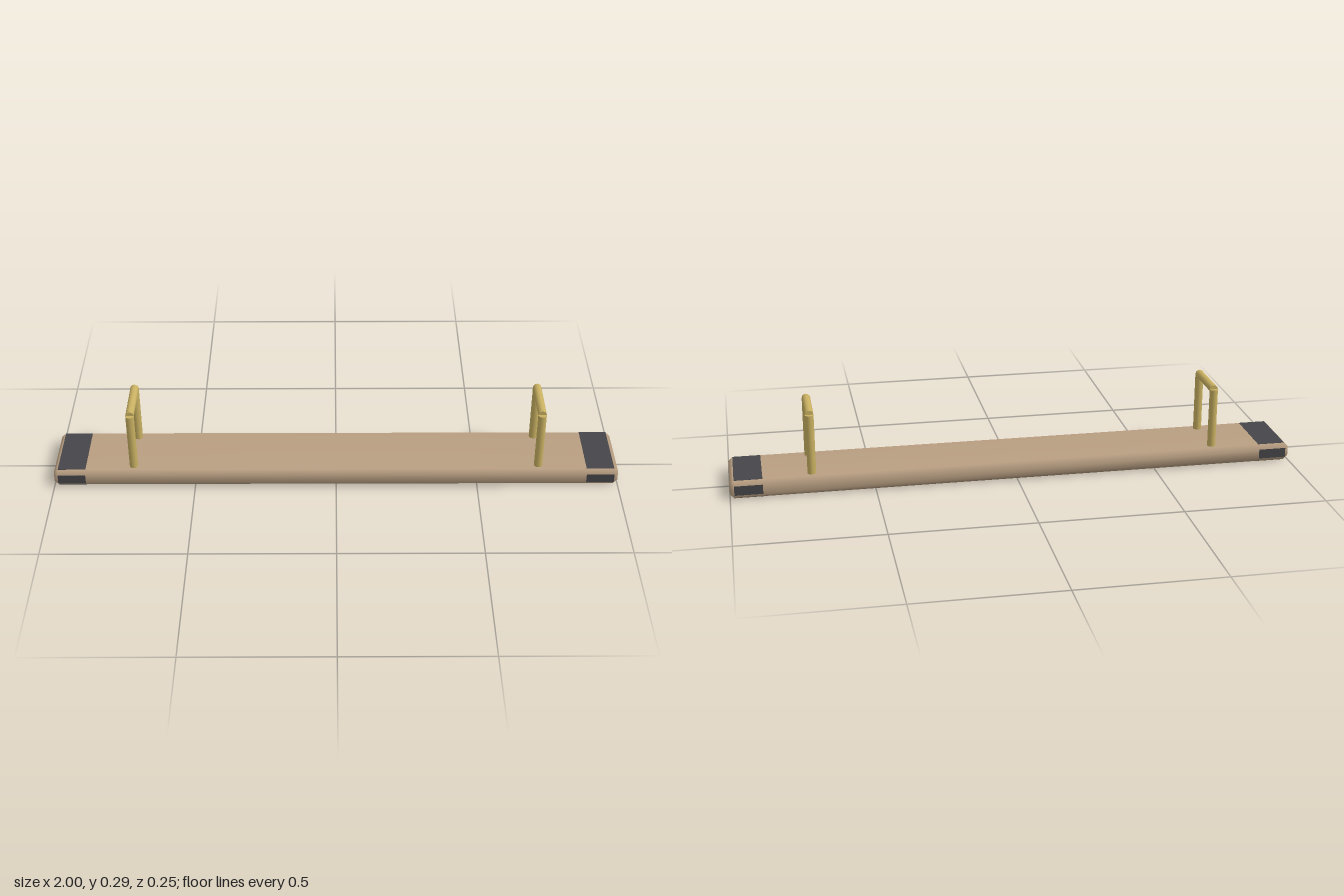
import * as THREE from 'three';
import { ConvexGeometry } from 'three/addons/geometries/ConvexGeometry.js';
import { mergeVertices } from 'three/addons/utils/BufferGeometryUtils.js';

// Box with flat chamfered edges and softened normals
function chamferBox(hx, hy, hz, c) {
  const points = [];
  for (const sx of [-1, 1]) for (const sy of [-1, 1]) for (const sz of [-1, 1]) {
    points.push(
      new THREE.Vector3(sx * hx, sy * (hy - c), sz * (hz - c)),
      new THREE.Vector3(sx * (hx - c), sy * hy, sz * (hz - c)),
      new THREE.Vector3(sx * (hx - c), sy * (hy - c), sz * hz)
    );
  }
  const geo = new ConvexGeometry(points);
  geo.deleteAttribute('normal');
  const merged = mergeVertices(geo, 1e-5);
  merged.computeVertexNormals();
  return merged;
}

export function createModel() {
  const wood = new THREE.MeshStandardMaterial({ color: 0xb99f82 });
  wood.name = 'tan wood';
  const brass = new THREE.MeshStandardMaterial({ color: 0xc9b162 });
  brass.name = 'brass';
  const rubber = new THREE.MeshStandardMaterial({ color: 0x46464a });
  rubber.name = 'dark rubber';

  const model = new THREE.Group();
  model.name = 'beamWithHandles';
  const add = (parent, name, geo, mat, x, y, z) => {
    const mesh = new THREE.Mesh(geo, mat);
    mesh.name = name;
    mesh.position.set(x, y, z);
    parent.add(mesh);
    return mesh;
  };

  // Long chamfered beam
  const hy = 0.032, hz = 0.126, c = 0.015;
  add(model, 'beam', chamferBox(1, hy, hz, c), wood, 0, hy, 0);

  const post = new THREE.CylinderGeometry(0.015, 0.015, 0.234, 12);
  const bar = new THREE.CylinderGeometry(0.015, 0.015, 0.175, 12);
  const padY = new THREE.BoxGeometry(0.098, 0.001, 2 * (hz - c));
  const padZ = new THREE.BoxGeometry(0.098, 2 * (hy - c), 0.001);

  for (const side of [-1, 1]) {
    const label = side > 0 ? 'left' : 'right';

    // Square hoop handle: two posts and a crossbar
    const handle = new THREE.Group();
    handle.name = label + 'Handle';
    handle.position.x = side * 0.717;
    for (const s of [-1, 1]) add(handle, 'handlePost', post, brass, 0, 0.161, s * 0.088);
    add(handle, 'handleBar', bar, brass, 0, 0.278, 0).rotation.x = Math.PI / 2;
    model.add(handle);

    // Dark grip panels on the four flats near the end
    const grip = new THREE.Group();
    grip.name = label + 'EndGrip';
    grip.position.set(side * 0.936, hy, 0);
    for (const s of [-1, 1]) {
      add(grip, 'gripPanel', padY, rubber, 0, s * hy, 0);
      add(grip, 'gripPanel', padZ, rubber, 0, 0, s * hz);
    }
    model.add(grip);
  }
  return model;
}
